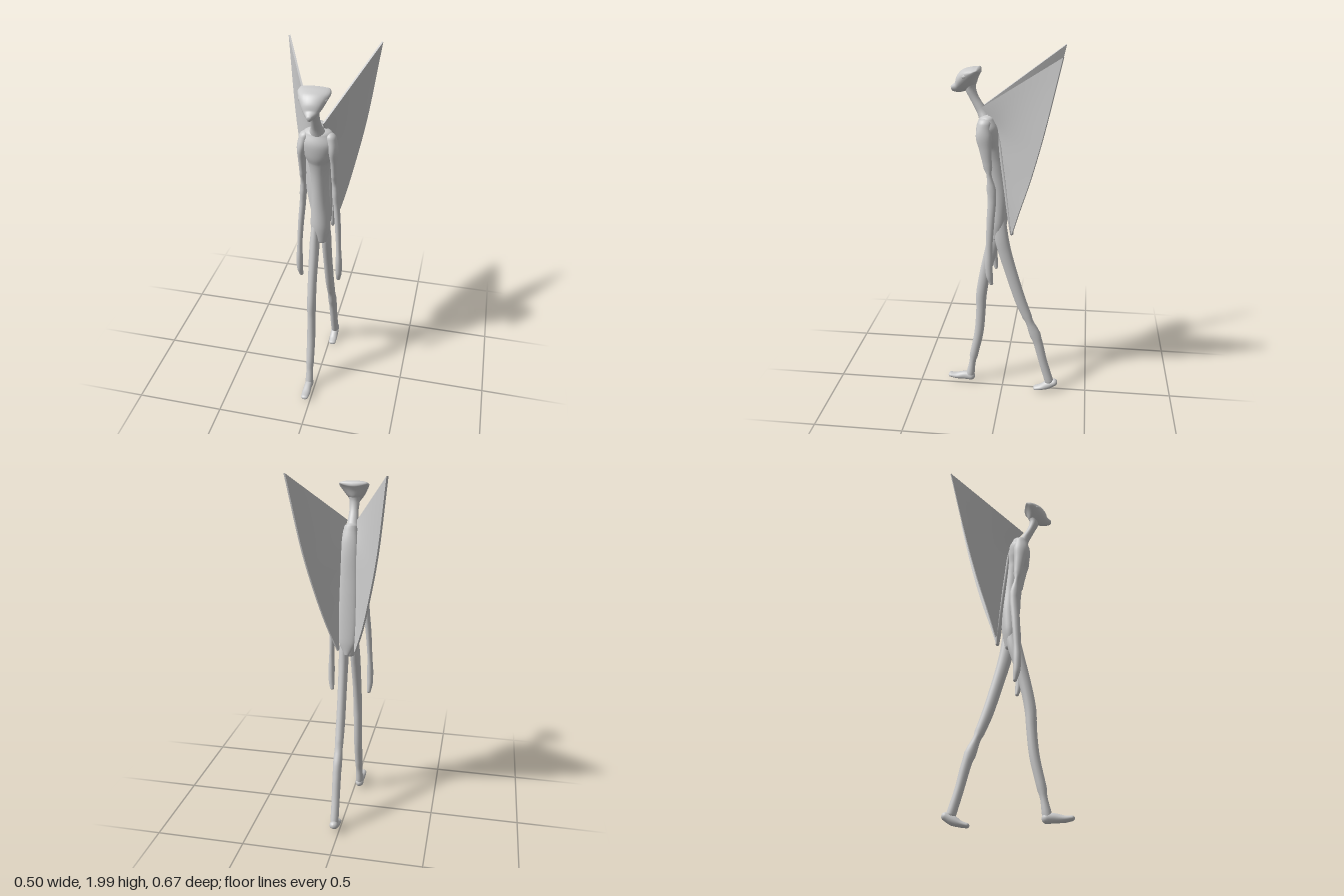
import * as THREE from 'three';
import { toCreasedNormals } from 'three/addons/utils/BufferGeometryUtils.js';

const X = new THREE.Vector3(1, 0, 0);
const skin = new THREE.MeshStandardMaterial({ color: 0xcccccc, side: THREE.DoubleSide });
skin.name = 'light grey skin';

// Joins rings of points into a skin; extra triangles close open ends
function skinRings(rings, extra = []) {
  const n = rings[0].length, pos = [], idx = [...extra];
  for (const r of rings) for (const p of r) pos.push(p.x, p.y, p.z);
  for (let i = 0; i < rings.length - 1; i++) {
    for (let j = 0; j < n; j++) {
      const k = (j + 1) % n, a = i * n + j, b = i * n + k, c = b + n, d = a + n;
      idx.push(a, b, c, a, c, d);
    }
  }
  const g = new THREE.BufferGeometry();
  g.setAttribute('position', new THREE.Float32BufferAttribute(pos, 3));
  g.setIndex(idx);
  g.computeVertexNormals();
  return g;
}

// Smooth limb through sections [x, y, z, half width, half depth], with rounded ends
function limb(name, sections, { taper = 0, sides = 20, steps = 5, cap = 1 } = {}) {
  const path = new THREE.CatmullRomCurve3(sections.map(s => new THREE.Vector3(s[0], s[1], s[2])));
  const radii = new THREE.CatmullRomCurve3(sections.map(s => new THREE.Vector3(s[3], s[4], 0)));
  const total = (sections.length - 1) * steps, rings = [];
  const ring = (t, shift, scale) => {
    const T = path.getTangent(t), O = T.clone().cross(X).normalize();
    const R = radii.getPoint(t), c = path.getPoint(t);
    c.addScaledVector(T, shift * Math.min(R.x, R.y) * cap);
    rings.push(Array.from({ length: sides }, (_, j) => {
      const a = j / sides * Math.PI * 2;
      const w = Math.cos(a) * R.x * scale * (1 + taper * Math.sin(a));
      return c.clone().addScaledVector(X, w).addScaledVector(O, Math.sin(a) * R.y * scale);
    }));
  };
  for (let k = 0; k < 5; k++) {
    const a = (1 - k / 5) * Math.PI / 2;
    ring(0, -Math.sin(a), Math.cos(a) + 1e-4);
  }
  for (let i = 0; i <= total; i++) ring(i / total, 0, 1);
  for (let k = 1; k <= 5; k++) {
    const a = k / 5 * Math.PI / 2;
    ring(1, Math.sin(a), Math.cos(a) + 1e-4);
  }
  const mesh = new THREE.Mesh(skinRings(rings), skin);
  mesh.name = name;
  return mesh;
}

const curve = pts => new THREE.CatmullRomCurve3(pts.map(p => new THREE.Vector3(...p)));
const wingRoot = [[0.03, 1.71, 0.1], [0.042, 1.6, 0.02], [0.048, 1.4, -0.015], [0.05, 1.2, -0.038], [0.045, 1.03, -0.055]];
const wingEdge = [[0.244, 1.998, -0.315], [0.19, 1.6, -0.226], [0.14, 1.35, -0.16], [0.097, 1.17, -0.104], [0.05, 1.02, -0.06]];

// Thin triangular wing between the back and its bowed trailing edge
function wing(name, side) {
  const root = curve(wingRoot), edge = curve(wingEdge);
  const rows = 24, across = 8, rings = [], ends = [];
  const normal = new THREE.Vector3(0.89, 0, 0.45).multiplyScalar(0.005);
  for (let i = 0; i <= rows; i++) {
    const a = root.getPoint(i / rows), b = edge.getPoint(i / rows);
    const line = Array.from({ length: across + 1 }, (_, j) => a.clone().lerp(b, j / across));
    const r = [...line.map(p => p.clone().add(normal)), ...line.reverse().map(p => p.clone().sub(normal))];
    r.forEach(p => { p.x *= side; });
    rings.push(side > 0 ? r : r.reverse());
  }
  // Close the top edge and the bottom point
  const n = 2 * (across + 1), last = rows * n;
  for (let j = 0; j < across; j++) {
    const a = j, b = j + 1, c = n - 2 - j, d = n - 1 - j;
    ends.push(a, c, b, a, d, c, last + a, last + b, last + c, last + a, last + c, last + d);
  }
  const mesh = new THREE.Mesh(toCreasedNormals(skinRings(rings, ends), 0.7), skin);
  mesh.name = name;
  return mesh;
}

export function createModel() {
  const model = new THREE.Group();
  model.name = 'wingedFigure';

  // Torso with a slim waist and a broad rounded chest
  model.add(limb('torso', [
    [0, 0.98, 0.025, 0.04, 0.035], [0, 1.08, 0.022, 0.055, 0.05], [0, 1.2, 0.02, 0.051, 0.053],
    [0, 1.32, 0.03, 0.046, 0.053], [0, 1.42, 0.042, 0.05, 0.055], [0, 1.49, 0.054, 0.06, 0.058],
    [0, 1.54, 0.066, 0.08, 0.064], [0, 1.6, 0.073, 0.094, 0.064], [0, 1.65, 0.075, 0.073, 0.046]],
    { sides: 32, cap: 0.5 }));

  // Back panel joining the wing roots
  model.add(limb('backPanel', [
    [0, 1.68, 0.055, 0.035, 0.03], [0, 1.6, 0.022, 0.045, 0.022], [0, 1.4, -0.008, 0.05, 0.018],
    [0, 1.2, -0.033, 0.052, 0.017], [0, 1.07, -0.048, 0.045, 0.015], [0, 1.0, -0.053, 0.014, 0.01]], { cap: 0.6 }));

  // Neck
  model.add(limb('neck', [
    [0, 1.63, 0.08, 0.055, 0.036], [0, 1.69, 0.11, 0.03, 0.026],
    [0, 1.75, 0.144, 0.025, 0.023], [0, 1.8, 0.164, 0.028, 0.028], [0, 1.85, 0.168, 0.042, 0.036]]));

  // Wedge head with a flat wide crown and a pointed snout
  model.add(limb('head', [
    [0, 1.894, 0.12, 0.07, 0.017], [0, 1.879, 0.144, 0.076, 0.034], [0, 1.857, 0.171, 0.066, 0.051],
    [0, 1.832, 0.198, 0.052, 0.049], [0, 1.808, 0.228, 0.033, 0.031], [0, 1.799, 0.259, 0.012, 0.016]],
    { taper: 0.38, sides: 28, cap: 0.6 }));
  for (const s of [1, -1]) {
    model.add(limb(s > 0 ? 'leftBrow' : 'rightBrow', [
      [s * 0.06, 1.876, 0.168, 0.013, 0.01], [s * 0.043, 1.86, 0.202, 0.013, 0.01],
      [s * 0.017, 1.838, 0.225, 0.01, 0.009]], { sides: 12 }));
  }

  // Long hanging arms and paired wings
  for (const s of [1, -1]) {
    const label = s > 0 ? 'left' : 'right';
    model.add(limb(label + 'Arm', [
      [s * 0.068, 1.63, 0.085, 0.028, 0.034], [s * 0.08, 1.57, 0.087, 0.026, 0.042],
      [s * 0.084, 1.5, 0.079, 0.02, 0.032], [s * 0.084, 1.4, 0.066, 0.017, 0.023],
      [s * 0.09, 1.25, 0.046, 0.017, 0.023],
      [s * 0.102, 1.1, 0.053, 0.016, 0.021], [s * 0.11, 0.95, 0.06, 0.014, 0.018],
      [s * 0.112, 0.86, 0.062, 0.018, 0.021], [s * 0.112, 0.79, 0.058, 0.017, 0.019],
      [s * 0.108, 0.743, 0.049, 0.012, 0.011]]));
    model.add(wing(label + 'Wing', s));
  }

  // Right leg strides forward
  model.add(limb('rightLeg', [
    [-0.024, 1.1, 0.022, 0.022, 0.036], [-0.028, 0.98, 0.043, 0.027, 0.039], [-0.029, 0.9, 0.063, 0.027, 0.036],
    [-0.03, 0.75, 0.1, 0.025, 0.032], [-0.03, 0.6, 0.126, 0.025, 0.031], [-0.03, 0.5, 0.13, 0.024, 0.028],
    [-0.03, 0.35, 0.143, 0.024, 0.027], [-0.03, 0.18, 0.178, 0.023, 0.025], [-0.03, 0.05, 0.2, 0.023, 0.025]]));
  model.add(limb('rightFoot', [
    [-0.03, 0.036, 0.197, 0.025, 0.027], [-0.03, 0.037, 0.235, 0.023, 0.025],
    [-0.03, 0.032, 0.285, 0.024, 0.018], [-0.03, 0.036, 0.322, 0.022, 0.014]]));

  // Left leg trails behind with its heel lifted
  model.add(limb('leftLeg', [
    [0.024, 1.1, 0.015, 0.022, 0.036], [0.027, 0.98, 0, 0.027, 0.039], [0.027, 0.9, -0.018, 0.026, 0.037],
    [0.026, 0.77, -0.055, 0.025, 0.034], [0.025, 0.6, -0.108, 0.025, 0.032], [0.025, 0.5, -0.147, 0.024, 0.028],
    [0.025, 0.35, -0.207, 0.024, 0.028], [0.025, 0.2, -0.246, 0.023, 0.025], [0.025, 0.075, -0.283, 0.023, 0.026]]));
  model.add(limb('leftFoot', [
    [0.024, 0.062, -0.312, 0.024, 0.022], [0.024, 0.042, -0.275, 0.025, 0.026],
    [0.024, 0.024, -0.235, 0.024, 0.017], [0.024, 0.016, -0.203, 0.022, 0.013]]));

  return model;
}
